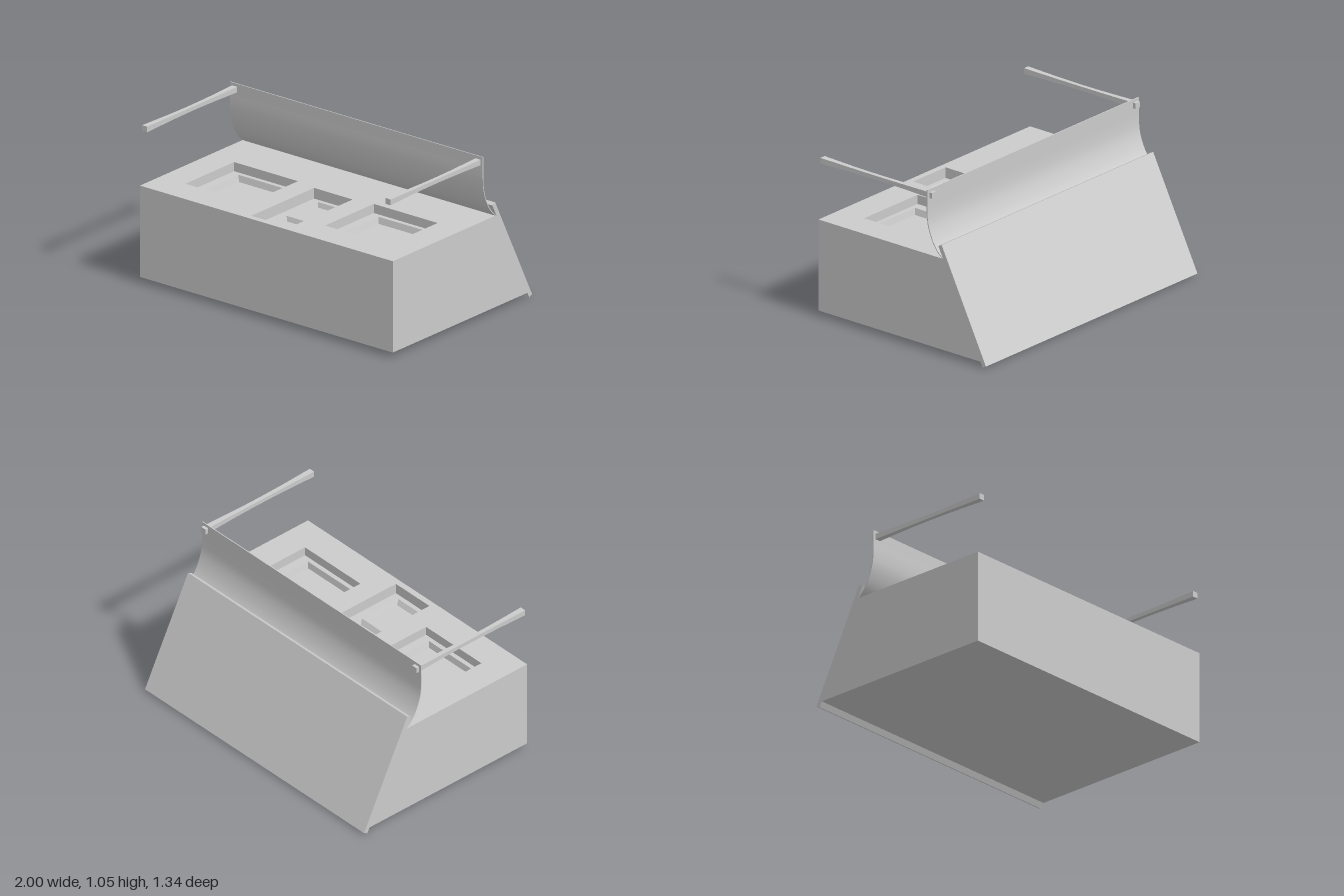
import * as THREE from 'three';
import { mergeGeometries, toCreasedNormals } from 'three/addons/utils/BufferGeometryUtils.js';

const material = new THREE.MeshStandardMaterial({ color: 0xcccccc });

function addMesh(parent, name, geometry) {
  const mesh = new THREE.Mesh(geometry, material);
  mesh.name = name;
  parent.add(mesh);
  return mesh;
}

// Rectangles are [x0, x1, z0, z1]
const corners = ([x0, x1, z0, z1]) => [[x0, z1], [x1, z1], [x1, z0], [x0, z0]];

// Four walls joining rectangle a to rectangle b: outward going up, inward going down
function walls(a, ya, b, yb) {
  const ca = corners(a), cb = corners(b), points = [];
  for (let i = 0; i < 4; i++) {
    const j = (i + 1) % 4;
    const p = [ca[i][0], ya, ca[i][1]], q = [ca[j][0], ya, ca[j][1]];
    const r = [cb[j][0], yb, cb[j][1]], s = [cb[i][0], yb, cb[i][1]];
    points.push(...p, ...q, ...r, ...p, ...r, ...s);
  }
  const geometry = new THREE.BufferGeometry();
  geometry.setAttribute('position', new THREE.Float32BufferAttribute(points, 3));
  geometry.computeVertexNormals();
  return geometry;
}

// Flat plate facing up, with rectangular holes
function plate(rect, y, holes = []) {
  const outline = (r) => corners(r).map(([x, z]) => new THREE.Vector2(x, -z));
  const shape = new THREE.Shape(outline(rect));
  holes.forEach((h) => shape.holes.push(new THREE.Path(outline(h).reverse())));
  const geometry = new THREE.ShapeGeometry(shape).rotateX(-Math.PI / 2).translate(0, y, 0).toNonIndexed();
  geometry.deleteAttribute('uv');
  return geometry;
}

// Side profile of [z, y] points, extruded across the full width
function acrossWidth(profile) {
  const shape = new THREE.Shape(profile.map(([z, y]) => new THREE.Vector2(-z, y)));
  return new THREE.ExtrudeGeometry(shape, { depth: 2, bevelEnabled: false })
    .rotateY(Math.PI / 2).translate(-1, 0, 0);
}

// Recess with a flat floor holding deeper bevelled panels
function recess(parent, name, rect, top, depth, panels, panelDepth, bevel, sill) {
  const floor = top - depth;
  const parts = [walls(rect, top, rect, floor), plate(rect, floor, panels)];
  for (const p of panels) {
    const inner = [p[0] + bevel, p[1] - bevel, p[2] + bevel, p[3] - sill];
    parts.push(walls(p, floor, inner, floor - panelDepth), plate(inner, floor - panelDepth));
  }
  addMesh(parent, name, mergeGeometries(parts));
}

export function createModel() {
  const model = new THREE.Group();
  model.name = 'houseFront';
  const bottom = 0.035, top = 0.635;

  // Body with a sloping rear and openings in the upper face
  const base = [-1, 1, -0.6275, 0.67], upper = [-1, 1, -0.3275, 0.67];
  const windowLeft = [0.3, 0.805, 0, 0.47], windowRight = [-0.805, -0.3, 0, 0.47];
  const door = [-0.153, 0.153, 0.025, 0.63];
  addMesh(model, 'body', mergeGeometries([
    walls(base, bottom, upper, top),
    plate(upper, top, [windowLeft, windowRight, door]),
  ]));
  const underside = new THREE.PlaneGeometry(2, 1.2975).rotateX(Math.PI / 2);
  addMesh(model, 'underside', underside).position.set(0, bottom, 0.02125);

  // Windows and door
  recess(model, 'windowLeft', windowLeft, top, 0.06, [[0.36, 0.745, 0.03, 0.44]], 0.04, 0.013, 0.01);
  recess(model, 'windowRight', windowRight, top, 0.06, [[-0.745, -0.36, 0.03, 0.44]], 0.04, 0.013, 0.01);
  recess(model, 'door', door, top, 0.07,
    [[-0.098, 0.098, 0.055, 0.3], [-0.098, 0.098, 0.355, 0.6]], 0.03, 0.012, 0.02);

  // Sloping roof slab
  addMesh(model, 'roofSlab', acrossWidth([[-0.29, 0.71], [-0.317, 0.723], [-0.672, 0.014], [-0.645, 0]]));

  // Thin curved porch roof
  const curve = [[-0.2, 1.055], [-0.2, 0.99], [-0.2, 0.91], [-0.208, 0.83],
    [-0.235, 0.75], [-0.273, 0.685], [-0.323, 0.635]];
  const smooth = new THREE.SplineCurve(curve.map(([z, y]) => new THREE.Vector2(z, y)));
  const front = [], back = [];
  for (let i = 0; i <= 18; i++) {
    const p = smooth.getPoint(i / 18), t = smooth.getTangent(i / 18);
    front.push([p.x - t.y * 0.003, p.y + t.x * 0.003]);
    back.unshift([p.x + t.y * 0.003, p.y - t.x * 0.003]);
  }
  addMesh(model, 'porchRoof', toCreasedNormals(acrossWidth([...front, ...back]), 0.6));

  // Square posts, slimmer in the middle
  for (const side of [-1, 1]) {
    const geometry = new THREE.BoxGeometry(0.04, 0.038, 0.895, 1, 1, 8);
    const pos = geometry.attributes.position;
    for (let i = 0; i < pos.count; i++) {
      const k = 1 - 0.32 * Math.cos((pos.getZ(i) / 0.895) * Math.PI);
      pos.setXY(i, pos.getX(i) * k, pos.getY(i) * k);
    }
    geometry.computeVertexNormals();
    addMesh(model, side > 0 ? 'postLeft' : 'postRight', geometry).position.set(side * 0.963, 1.017, 0.2225);
  }
  return model;
}
